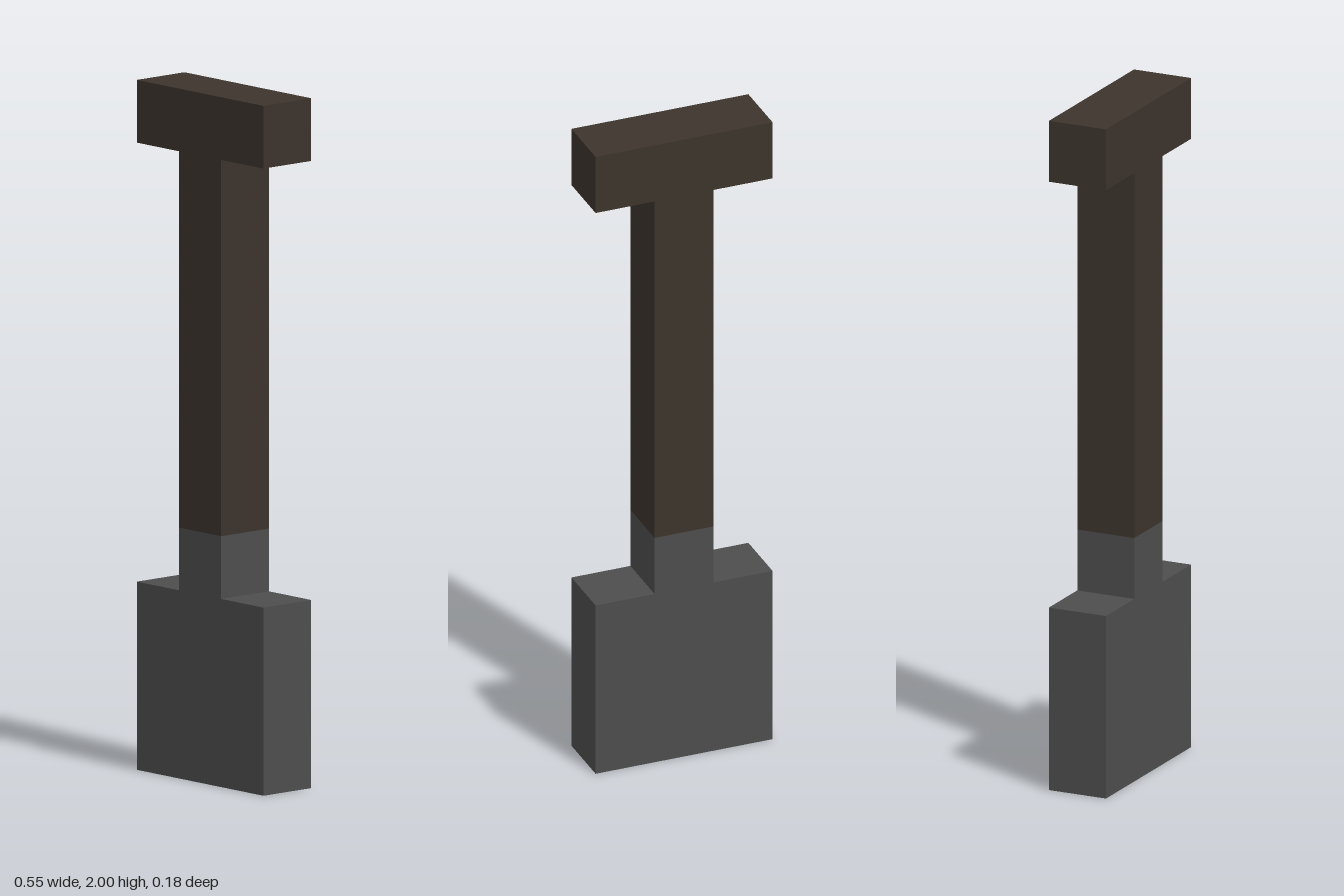
import * as THREE from 'three';

const U = 2 / 11; // the shovel is built on an 11-unit-tall block grid

export function createModel() {
  const model = new THREE.Group();
  model.name = 'shovel';

  const wood = new THREE.MeshStandardMaterial({ color: 0x3c342c });
  wood.name = 'dark wood';
  const metal = new THREE.MeshStandardMaterial({ color: 0x4d4d4d });
  metal.name = 'grey metal';

  // Adds a one-unit-deep block, sized in grid units, with its base at the given height
  function addBlock(name, width, height, base, material) {
    const mesh = new THREE.Mesh(new THREE.BoxGeometry(width * U, height * U, U), material);
    mesh.name = name;
    mesh.position.y = (base + height / 2) * U;
    model.add(mesh);
  }

  addBlock('blade', 3, 3, 0, metal);
  addBlock('collar', 1, 1, 3, metal);
  addBlock('shaft', 1, 6, 4, wood);
  addBlock('grip', 3, 1, 10, wood);

  return model;
}
